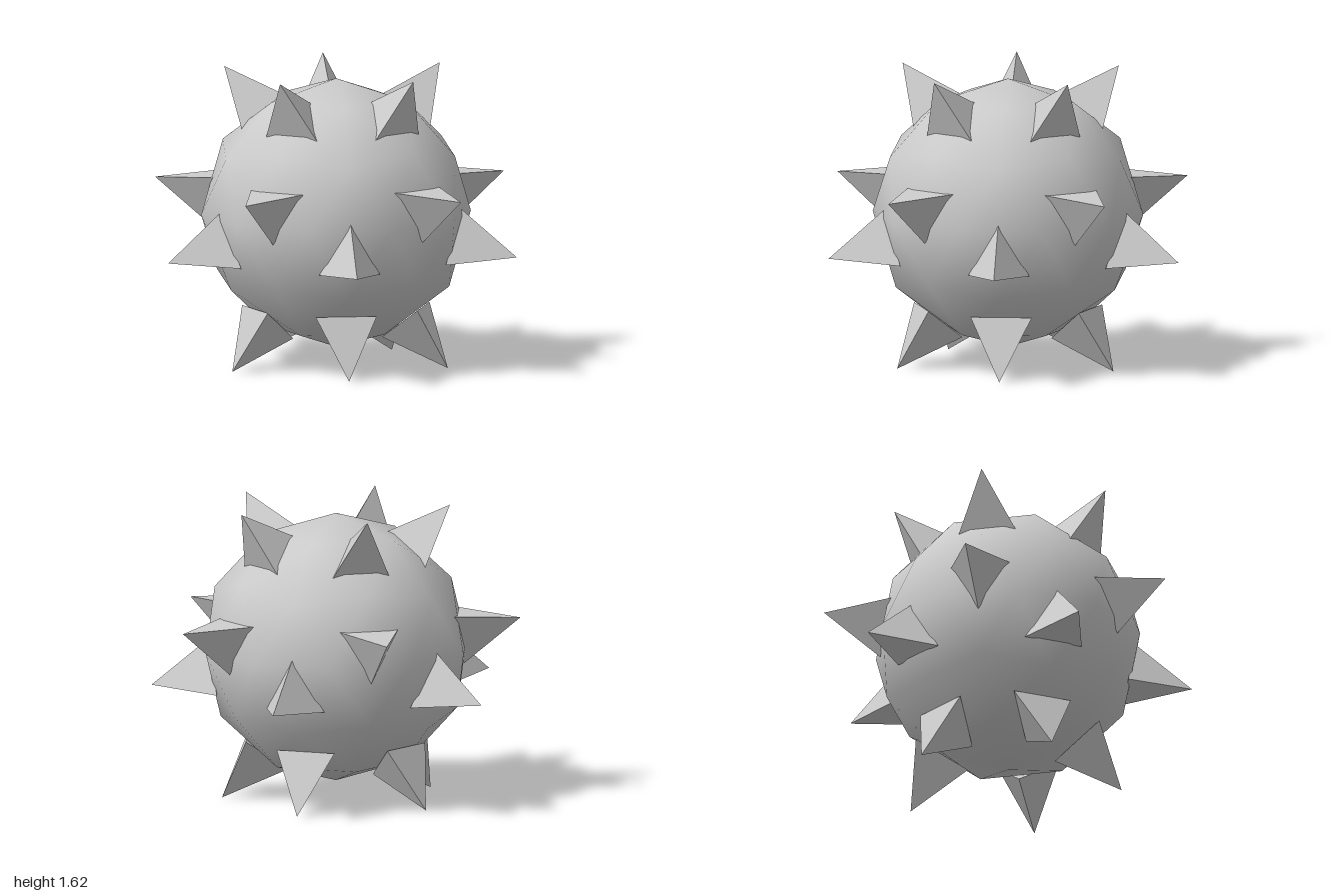
import * as THREE from 'three';

const SPIKE_CENTRE = 0.809; // height of the point all spikes radiate from
const TIP = 1.018;          // distance of each tip from that point
const BASE = 0.67;          // distance of each spike's base
const SPIKE_RADIUS = 0.192;

export function createModel() {
  const group = new THREE.Group();
  group.name = 'spikedBall';
  const grey = new THREE.MeshStandardMaterial({ color: 0xcccccc });
  const greyFlat = new THREE.MeshStandardMaterial({ color: 0xcccccc, flatShading: true });

  // Smooth-shaded low-poly ball, turned so that one corner points straight up
  const ballGeometry = new THREE.IcosahedronGeometry(0.735, 1);
  ballGeometry.rotateZ(-Math.atan(2 / (1 + Math.sqrt(5))));
  const ball = new THREE.Mesh(ballGeometry, grey);
  ball.name = 'ball';
  ball.position.y = 0.834;
  group.add(ball);

  // Three-sided spike, its base at the given distance from the centre
  const spikeGeometry = new THREE.ConeGeometry(SPIKE_RADIUS, TIP - BASE, 3);
  spikeGeometry.translate(0, (TIP + BASE) / 2, 0);

  // Four rings of five spikes; "corner" is 1 where a base corner points up, -1 down
  const rings = [
    { name: 'topSpike', r: 0.607, y: 0.795, start: Math.PI, corner: 1 },
    { name: 'upperSpike', r: 0.982, y: 0.188, start: Math.PI, corner: -1 },
    { name: 'lowerSpike', r: 0.982, y: -0.188, start: 0, corner: 1 },
    { name: 'bottomSpike', r: 0.607, y: -0.795, start: 0, corner: -1 },
  ];
  for (const { name, r, y, start, corner } of rings) {
    for (let i = 0; i < 5; i++) {
      const a = start + (i * Math.PI * 2) / 5;
      const out = new THREE.Vector3(r * Math.cos(a), y, r * Math.sin(a)).normalize();
      const side = new THREE.Vector3(0, corner, 0).addScaledVector(out, -corner * out.y).normalize();
      const across = new THREE.Vector3().crossVectors(out, side);
      const spike = new THREE.Mesh(spikeGeometry, greyFlat);
      spike.name = name + (i + 1);
      spike.quaternion.setFromRotationMatrix(new THREE.Matrix4().makeBasis(across, out, side));
      spike.position.y = SPIKE_CENTRE;
      group.add(spike);
    }
  }
  return group;
}
